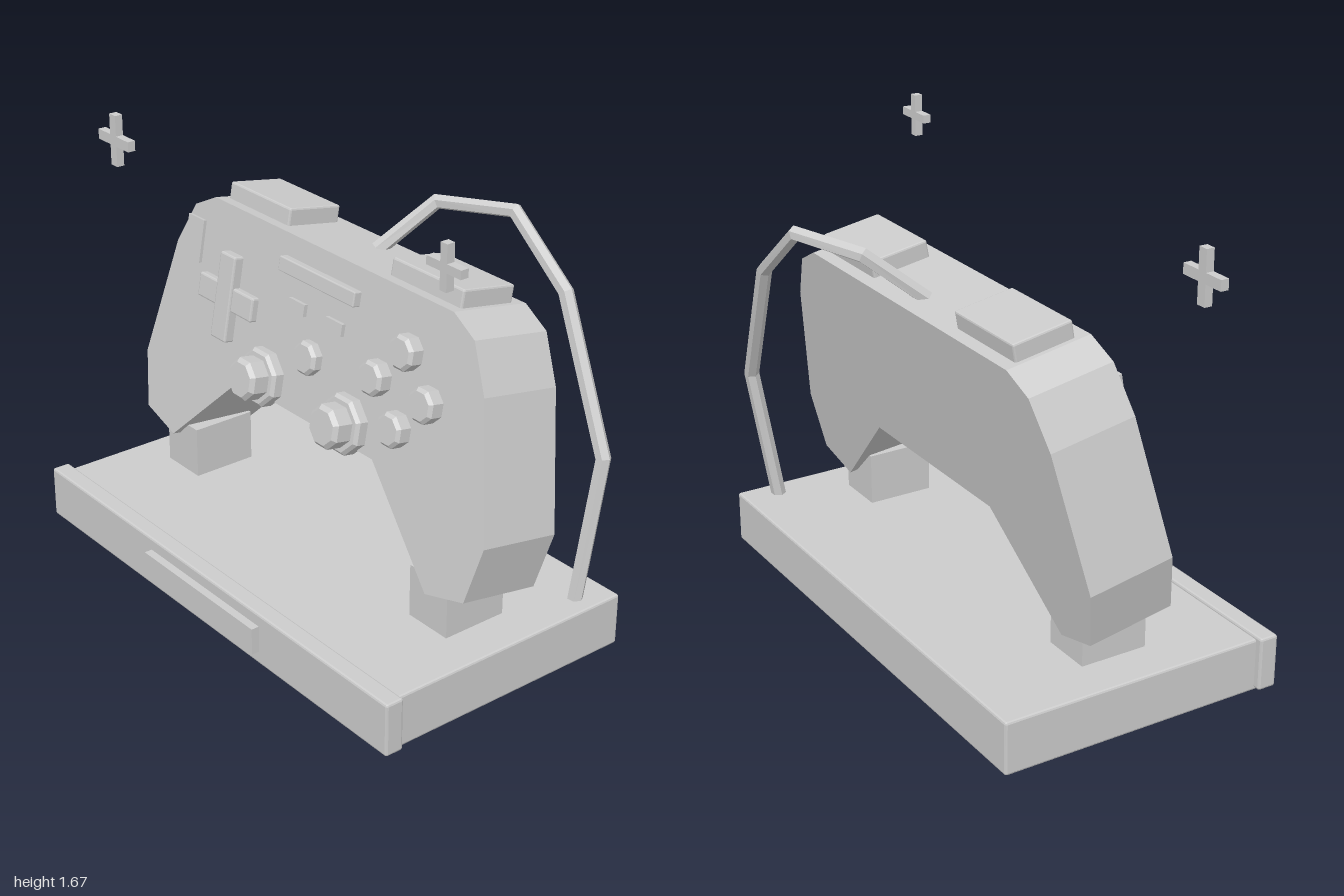
import * as THREE from 'three';
import { RoundedBoxGeometry } from 'three/addons/geometries/RoundedBoxGeometry.js';

const grey = new THREE.MeshStandardMaterial({ color: 0xcccccc, flatShading: true });
grey.name = 'plain grey';

function add(parent, name, geometry) {
  const mesh = new THREE.Mesh(geometry, grey);
  mesh.name = name;
  parent.add(mesh);
  return mesh;
}

// Box given by its limits on each axis, optionally with chamfered edges
function box(parent, name, [x0, x1], [y0, y1], [z0, z1], bevel = 0) {
  const size = [x1 - x0, y1 - y0, z1 - z0];
  const geometry = bevel ? new RoundedBoxGeometry(...size, 1, bevel) : new THREE.BoxGeometry(...size);
  const mesh = add(parent, name, geometry);
  mesh.position.set((x0 + x1) / 2, (y0 + y1) / 2, (z0 + z1) / 2);
  return mesh;
}

// Eight-sided chamfered disc that rises along z
function knob(parent, name, x, y, apothem, z0, z1, bevel = 0.012) {
  const r = apothem / Math.cos(Math.PI / 8);
  const profile = [[0, z0], [r, z0], [r, z1 - bevel], [r - bevel, z1], [0, z1]].map(p => new THREE.Vector2(...p));
  const geometry = new THREE.LatheGeometry(profile, 8, Math.PI / 8);
  geometry.rotateX(Math.PI / 2);
  add(parent, name, geometry).position.set(x, y, 0);
}

// Straight-segment path for the cable
class Polyline extends THREE.Curve {
  constructor(points) {
    super();
    this.points = points;
  }
  getPoint(t, target = new THREE.Vector3()) {
    const n = this.points.length - 1;
    const i = Math.min(Math.floor(t * n), n - 1);
    return target.lerpVectors(this.points[i], this.points[i + 1], t * n - i);
  }
  getUtoTmapping(u) {
    return u;
  }
}

function createStand() {
  const stand = new THREE.Group();
  stand.name = 'stand';
  box(stand, 'base', [-0.97, 0.97], [0, 0.195], [-0.525, 0.51], 0.008);
  box(stand, 'frontPanel', [-0.997, 0.997], [0.01, 0.207], [0.467, 0.537], 0.008);
  box(stand, 'namePlate', [-0.323, 0.323], [0.06, 0.16], [0.53, 0.567]);
  for (const s of [-1, 1]) {
    box(stand, 'supportPost', [s * 0.714 - 0.094, s * 0.714 + 0.094], [0.18, 0.39], [-0.128, 0.124]);
  }
  return stand;
}

function createController() {
  const pad = new THREE.Group();
  pad.name = 'controller';

  // Body: mirrored outline, front face at z = 0
  const half = [[0.65, 0.494], [0.762, 0.436], [0.846, 0.272], [0.958, -0.205],
    [0.91, -0.416], [0.731, -0.465], [0.38, -0.124]];
  const outline = [...half, ...half.map(([x, y]) => [-x, y]).reverse()];
  const shape = new THREE.Shape(outline.map(p => new THREE.Vector2(...p)));
  const bodyGeometry = new THREE.ExtrudeGeometry(shape, { depth: 0.32, bevelEnabled: false });
  add(pad, 'body', bodyGeometry).position.z = -0.32;

  for (const s of [-1, 1]) {
    box(pad, 'trigger', [s * 0.455 - 0.177, s * 0.455 + 0.177], [0.47, 0.557], [-0.274, -0.048], 0.007);
    box(pad, 'menuButton', [s * 0.104 - 0.045, s * 0.104 + 0.045], [0.235, 0.279], [-0.01, 0.015]);
    knob(pad, 'stickCollar', s * 0.234, -0.048, 0.1, -0.01, 0.045);
    knob(pad, 'stickCap', s * 0.234, -0.048, 0.073, 0.03, 0.118, 0.015);
  }

  // Directional cross
  box(pad, 'crossVertical', [-0.535, -0.445], [0.005, 0.33], [-0.01, 0.038], 0.007);
  box(pad, 'crossHorizontal', [-0.652, -0.328], [0.122, 0.213], [-0.01, 0.028], 0.007);

  // Diamond of action buttons and the central button
  for (const [dx, dy] of [[0, 1], [1, 0], [0, -1], [-1, 0]]) {
    knob(pad, 'actionButton', 0.485 + dx * 0.129, 0.165 + dy * 0.136, 0.058, -0.01, 0.055);
  }
  knob(pad, 'centreButton', -0.002, 0.106, 0.058, -0.01, 0.04);

  box(pad, 'lightBar', [-0.21, 0.205], [0.36, 0.414], [-0.01, 0.03], 0.004);
  box(pad, 'sidePatch', [-0.782, -0.686], [0.233, 0.395], [-0.01, 0.012]);

  pad.position.set(0, 0.8, 0.075);
  pad.rotation.x = -Math.PI / 18;
  return pad;
}

// Floating plus sign
function createPlus(x, y, size, thickness) {
  const plus = new THREE.Group();
  plus.name = 'plusSign';
  const a = size / 2, t = thickness / 2, z = [-0.015, 0.015];
  box(plus, 'plusVertical', [-t, t], [-a, a], z);
  box(plus, 'plusHorizontal', [-a, a], [-t, t], z);
  plus.position.set(x, y, 0.255);
  return plus;
}

export function createModel() {
  const model = new THREE.Group();
  model.name = 'controllerOnStand';
  model.add(createStand(), createController());
  model.add(createPlus(-0.88, 1.5, 0.192, 0.038), createPlus(0.907, 1.597, 0.155, 0.03));

  // Cable from the top of the controller down to the base
  const path = new Polyline([[0.01, 1.24, -0.225], [0.1, 1.4, -0.415], [0.37, 1.42, -0.53],
    [0.63, 1.21, -0.53], [0.9, 0.71, -0.475], [0.89, 0.17, -0.387]].map(p => new THREE.Vector3(...p)));
  add(model, 'cable', new THREE.TubeGeometry(path, 5, 0.028, 6, false));
  return model;
}
